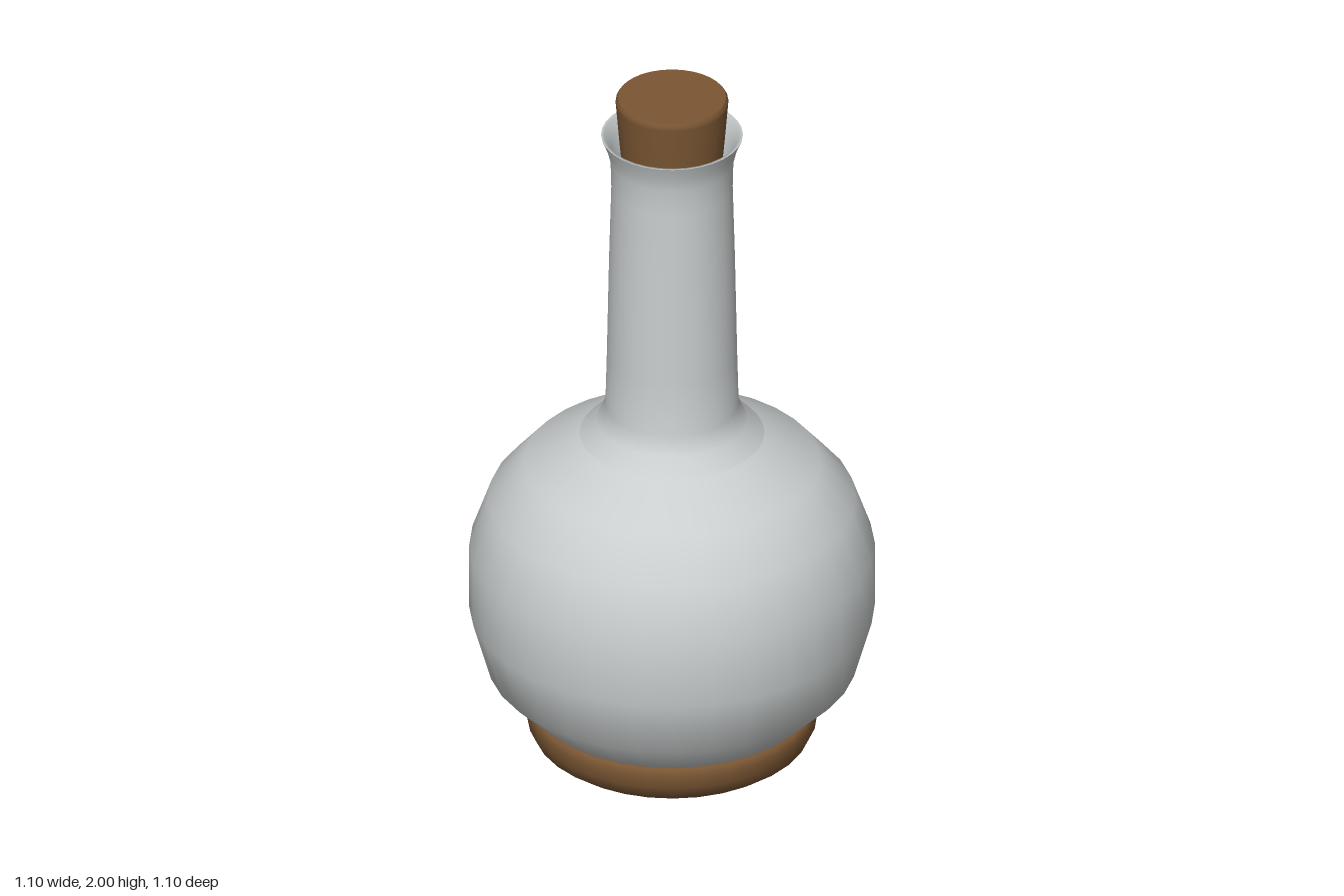
import * as THREE from 'three';

const SEGMENTS = 32;

export function createModel() {
  const model = new THREE.Group();
  const glass = new THREE.MeshStandardMaterial({ name: 'pale grey glass', color: 0xc9cdcd, side: THREE.DoubleSide });
  const brown = new THREE.MeshStandardMaterial({ name: 'brown cork', color: 0x7a5633 });

  // Revolves [radius, height] points, listed from bottom to top on the outside
  function turned(name, points, material) {
    const profile = points.map(([r, y]) => new THREE.Vector2(r, y));
    const mesh = new THREE.Mesh(new THREE.LatheGeometry(profile, SEGMENTS), material);
    mesh.name = name;
    model.add(mesh);
    return mesh;
  }

  // Round bulb with a flattened underside
  turned('bulb', [
    [0, 0.06], [0.2, 0.06], [0.29, 0.075], [0.385, 0.125], [0.5, 0.24], [0.548, 0.41],
    [0.548, 0.6], [0.495, 0.75], [0.4, 0.86], [0.25, 0.95],
  ], glass);

  // Tapering neck with a shoulder fillet below and a flared lip above
  turned('neck', [
    [0.25, 0.95], [0.205, 0.995], [0.18, 1.045], [0.176, 1.2], [0.17, 1.5],
    [0.164, 1.72], [0.166, 1.8], [0.177, 1.845], [0.192, 1.882],
  ], glass);

  // Funnel inside the lip
  turned('lipInside', [[0.192, 1.882], [0.183, 1.882], [0.165, 1.845], [0.152, 1.8], [0.142, 1.76]], glass);

  // Rounded stand ring with an open centre
  turned('baseRing', [
    [0.24, 0.12], [0.235, 0.08], [0.245, 0.04], [0.27, 0.012], [0.305, 0.001],
    [0.345, 0.006], [0.375, 0.028], [0.392, 0.065], [0.395, 0.1], [0.39, 0.122], [0.37, 0.124], [0.24, 0.12],
  ], brown);

  // Tapered stopper: side with a small bevel, and a flat top
  turned('stopperSide', [[0.134, 1.77], [0.143, 1.87], [0.152, 1.98], [0.152, 1.991], [0.146, 2]], brown);
  const top = new THREE.Mesh(new THREE.CircleGeometry(0.146, SEGMENTS), brown);
  top.name = 'stopperTop';
  top.rotation.x = -Math.PI / 2;
  top.position.y = 2;
  model.add(top);

  return model;
}
